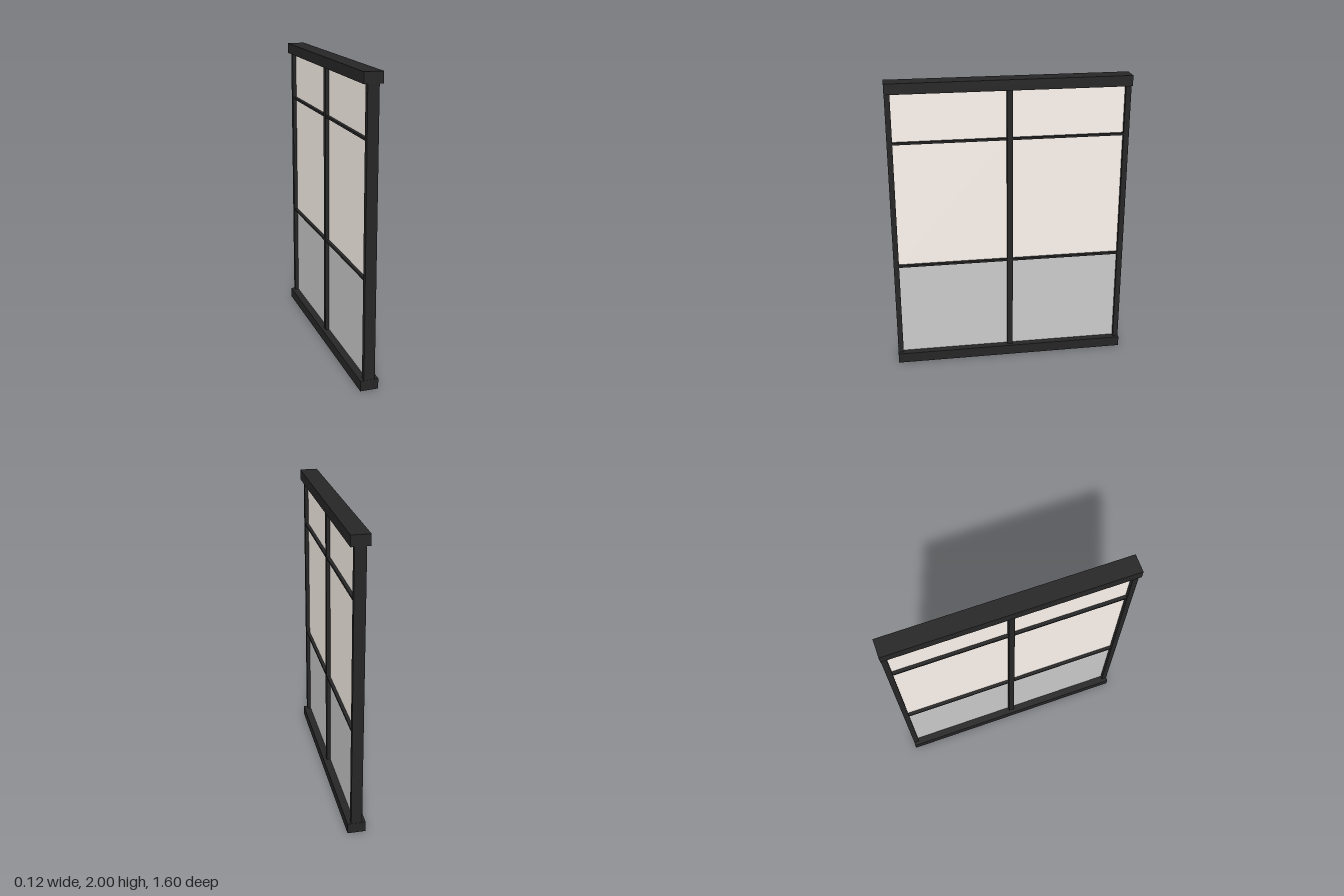
import * as THREE from 'three';

const frameMat = new THREE.MeshStandardMaterial({ color: 0x262626 });
const creamMat = new THREE.MeshStandardMaterial({ color: 0xfff6ef });
const greyMat = new THREE.MeshStandardMaterial({ color: 0xcccccc });

const HALF = 0.798;   // half length of the partition along z
const RAIL = 0.07;    // rail height
const INNER = 0.761;  // inner face of the end posts
const MULLION = 0.019; // half width of the middle post

export function createModel() {
  const group = new THREE.Group();

  // Box given by its half depth in x and its ranges in y and z
  const addBox = (name, mat, halfX, y0, y1, z0, z1) => {
    const mesh = new THREE.Mesh(new THREE.BoxGeometry(halfX * 2, y1 - y0, z1 - z0), mat);
    mesh.position.set(0, (y0 + y1) / 2, (z0 + z1) / 2);
    mesh.name = name;
    group.add(mesh);
  };

  // Wide rails at floor and head
  addBox('bottomRail', frameMat, 0.06, 0, RAIL, -HALF, HALF);
  addBox('topRail', frameMat, 0.06, 2 - RAIL, 2, -HALF, HALF);

  // Upright posts
  addBox('frontPost', frameMat, 0.036, RAIL, 2 - RAIL, INNER, HALF - 0.001);
  addBox('middlePost', frameMat, 0.036, RAIL, 2 - RAIL, -MULLION, MULLION);
  addBox('backPost', frameMat, 0.036, RAIL, 2 - RAIL, -HALF + 0.001, -INNER);

  // Two bays, each with a solid lower panel, two panes and two glazing bars
  for (const [bay, z0, z1] of [['front', MULLION, INNER], ['back', -INNER, -MULLION]]) {
    addBox(bay + 'LowerPanel', greyMat, 0.011, RAIL, 0.735, z0, z1);
    addBox(bay + 'MiddlePane', creamMat, 0.011, 0.735, 1.602, z0, z1);
    addBox(bay + 'UpperPane', creamMat, 0.011, 1.602, 2 - RAIL, z0, z1);
    for (const [level, y] of [['Lower', 0.735], ['Upper', 1.602]]) {
      addBox(bay + level + 'Bar', frameMat, 0.033, y - 0.007, y + 0.007, z0, z1);
    }
  }
  return group;
}
